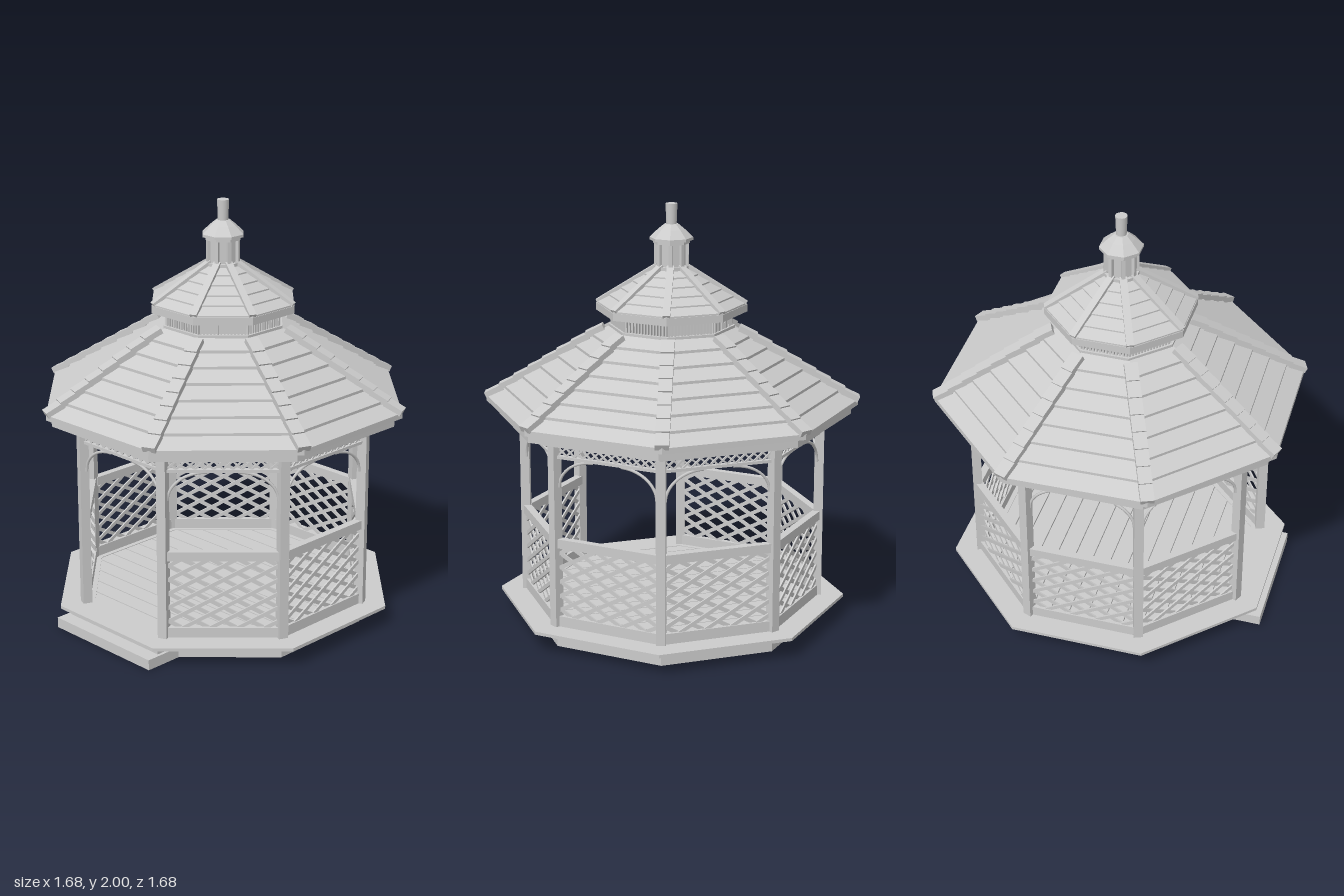
import * as THREE from 'three';
import { mergeGeometries } from 'three/addons/utils/BufferGeometryUtils.js';

const flat = new THREE.MeshStandardMaterial({ color: 0xcccccc, flatShading: true });
const smooth = new THREE.MeshStandardMaterial({ color: 0xcccccc });
const EIGHTH = Math.PI / 4;
const COS = Math.cos(EIGHTH / 2);
const TAN = Math.tan(EIGHTH / 2);

function add(parent, name, geometry, material = flat) {
  const mesh = new THREE.Mesh(geometry, material);
  mesh.name = name;
  parent.add(mesh);
  return mesh;
}

// Box given by its extents
function block(x0, x1, y0, y1, z0, z1) {
  return new THREE.BoxGeometry(x1 - x0, y1 - y0, z1 - z0)
    .translate((x0 + x1) / 2, (y0 + y1) / 2, (z0 + z1) / 2);
}

// Octagonal solid from a counter-clockwise profile of [distance to flat side, height]
function octagon(profile) {
  const points = profile.map(([a, y]) => new THREE.Vector2(a / COS, y));
  return new THREE.LatheGeometry(points, 8, EIGHTH / 2);
}

function octagonRing(inner, outer, y0, y1) {
  return octagon([[inner, y0], [outer, y0], [outer, y1], [inner, y1], [inner, y0]]);
}

// Repeat a geometry around the eight sides (offset 0) or corners (offset 0.5)
function around(geometry, offset = 0) {
  const copies = [];
  for (let i = 0; i < 8; i++) copies.push(geometry.clone().rotateY((i + offset) * EIGHTH));
  return mergeGeometries(copies);
}

// Two crossing layers of diagonal slats, clipped to a rectangle
function lattice(width, y0, y1, slope, spacing, slat, depth, z) {
  const pieces = [];
  const run = (y1 - y0) / slope;
  const angle = Math.atan(slope);
  for (const side of [1, -1]) {
    for (let c = -width / 2 - run + spacing / 2; c < width / 2; c += spacing) {
      const a = Math.max(c, -width / 2);
      const b = Math.min(c + run, width / 2);
      if (b - a < 0.01) continue;
      const mid = (a + b) / 2;
      pieces.push(new THREE.BoxGeometry((b - a) / Math.cos(angle), slat, depth)
        .rotateZ(side * angle)
        .translate(side * mid, y0 + (mid - c) * slope, z + side * depth / 2));
    }
  }
  return mergeGeometries(pieces);
}

// Lapped board courses rising from the eave to the top
function roofCourses(a0, y0, a1, y1, count, lip) {
  const courses = [];
  for (let i = 0; i < count; i++) {
    const at = (t) => [a0 + (a1 - a0) * t, y0 + (y1 - y0) * t];
    const [oa, oy] = at(i / count);
    const [ia, iy] = at((i + 1) / count);
    courses.push(octagon([[ia, iy - lip], [oa, oy - lip], [oa, oy + lip], [ia, iy], [ia, iy - lip]]));
  }
  return mergeGeometries(courses);
}

// Overlapping caps along one hip, laid in the +z direction
function hipCaps(a0, y0, a1, y1, count, width, thick) {
  const r0 = a0 / COS, r1 = a1 / COS;
  const pitch = Math.atan2(y1 - y0, r0 - r1);
  const length = Math.hypot(r0 - r1, y1 - y0) / count;
  const caps = [];
  for (let i = 0; i < count; i++) {
    const t = (i + 0.5) / count;
    caps.push(new THREE.BoxGeometry(width, thick, length * 1.12)
      .rotateX(pitch - (count > 1 ? 0.09 : 0))
      .translate(0, y0 + (y1 - y0) * t + thick * 0.4, r0 + (r1 - r0) * t));
  }
  return mergeGeometries(caps);
}

function buildBase(model) {
  const base = new THREE.Group();
  base.name = 'base';
  add(base, 'foundation', octagon([[0, 0], [0.65, 0], [0.65, 0.09], [0, 0.09]]));
  add(base, 'deckRim', octagonRing(0.61, 0.77, 0.09, 0.105));
  add(base, 'lowerStep', block(-0.32, 0.315, 0, 0.05, 0.6, 0.79));
  add(base, 'upperStep', block(-0.3, 0.3, 0.05, 0.09, 0.6, 0.72));

  // Floor boards run across the deck and follow the octagon at their ends
  const A = 0.63, count = 14, step = 2 * A / count;
  const half = (z) => Math.min(A, A * Math.SQRT2 - Math.abs(z));
  const boards = [];
  for (let i = 0; i < count; i++) {
    const z0 = -A + i * step + 0.003, z1 = z0 + step - 0.006;
    const shape = new THREE.Shape([[-half(z0), -z0], [-half(z1), -z1], [half(z1), -z1], [half(z0), -z0]]
      .map(([x, y]) => new THREE.Vector2(x, y)));
    boards.push(new THREE.ExtrudeGeometry(shape, { depth: 0.016, bevelEnabled: false })
      .rotateX(-Math.PI / 2).translate(0, 0.086, 0));
  }
  add(base, 'floorBoards', mergeGeometries(boards));
  model.add(base);
}

function buildWalls(model) {
  const walls = new THREE.Group();
  walls.name = 'walls';
  add(walls, 'posts', around(block(-0.022, 0.022, 0.1, 0.99, 0.682, 0.726), 0.5));

  const A = 0.648, w = 2 * A * TAN - 0.03;
  for (let i = 0; i < 8; i++) {
    const side = new THREE.Group();
    side.name = 'wallSide';
    side.rotation.y = i * EIGHTH;
    // The front side is left open as the entrance
    if (i > 0) {
      add(side, 'bottomRail', block(-w / 2, w / 2, 0.105, 0.155, A - 0.014, A + 0.014));
      add(side, 'topRail', block(-w / 2, w / 2, 0.487, 0.53, A - 0.018, A + 0.018));
      add(side, 'railingLattice', lattice(w, 0.15, 0.49, 0.55, 0.125, 0.018, 0.008, A));
    }
    add(side, 'friezeRail', block(-w / 2, w / 2, 0.912, 0.926, A - 0.012, A + 0.012));
    add(side, 'friezeTopRail', block(-w / 2, w / 2, 0.975, 0.99, A - 0.012, A + 0.012));
    add(side, 'friezeLattice', lattice(w, 0.922, 0.98, 0.9, 0.042, 0.009, 0.006, A));
    // Curved brackets under the frieze
    for (const s of [1, -1]) {
      const points = [];
      for (let k = 0; k <= 8; k++) {
        const t = k / 8 * Math.PI / 2;
        points.push(new THREE.Vector3(s * (0.07 + 0.178 * Math.cos(t)), 0.775 + 0.135 * Math.sin(t), A));
      }
      add(side, 'archBracket', new THREE.TubeGeometry(new THREE.CatmullRomCurve3(points), 16, 0.007, 6), smooth);
    }
    walls.add(side);
  }
  model.add(walls);
}

function buildMainRoof(model) {
  const roof = new THREE.Group();
  roof.name = 'mainRoof';
  add(roof, 'wallPlate', octagonRing(0.62, 0.72, 0.985, 1.012));
  add(roof, 'fascia', octagonRing(0.7, 0.785, 1.01, 1.06));
  const cover = new THREE.Group();
  cover.name = 'roofCover';
  cover.rotation.y = 0.019;
  add(cover, 'roofBoards', roofCourses(0.815, 1.062, 0.27, 1.42, 7, 0.013));
  add(cover, 'hipCaps', around(hipCaps(0.81, 1.066, 0.3, 1.405, 8, 0.062, 0.03), 0.5));
  roof.add(cover);
  model.add(roof);
}

function buildLantern(model) {
  const lantern = new THREE.Group();
  lantern.name = 'lantern';
  // Slatted band between the two roofs
  add(lantern, 'bandCore', octagonRing(0.22, 0.25, 1.38, 1.5));
  add(lantern, 'bandSill', octagonRing(0.24, 0.275, 1.405, 1.43));
  add(lantern, 'bandHead', octagonRing(0.24, 0.27, 1.482, 1.5));
  const slats = [];
  for (let i = 0; i < 14; i++) {
    const x = (i - 6.5) * 0.0156;
    slats.push(block(x - 0.004, x + 0.004, 1.42, 1.49, 0.248, 0.266));
  }
  add(lantern, 'bandSlats', around(mergeGeometries(slats)));

  // Upper roof
  add(lantern, 'upperFascia', octagonRing(0.22, 0.328, 1.495, 1.53));
  add(lantern, 'upperRoofBoards', roofCourses(0.325, 1.53, 0.07, 1.7, 5, 0.007));
  add(lantern, 'upperHipCaps', around(hipCaps(0.31, 1.54, 0.075, 1.698, 1, 0.034, 0.016), 0.5));

  // Cupola, cap and finial
  add(lantern, 'cupolaCore', octagon([[0, 1.66], [0.064, 1.66], [0.064, 1.84], [0, 1.84]]));
  add(lantern, 'cupolaPosts', around(block(-0.009, 0.009, 1.68, 1.83, 0.063, 0.081), 0.5));
  add(lantern, 'cupolaSill', octagonRing(0.05, 0.08, 1.69, 1.71));
  add(lantern, 'cupolaHead', octagonRing(0.05, 0.08, 1.815, 1.832));
  add(lantern, 'cupolaCap', octagon([[0, 1.83], [0.094, 1.83], [0.094, 1.843], [0.058, 1.88], [0.03, 1.905], [0, 1.905]]));
  add(lantern, 'finial', new THREE.CylinderGeometry(0.028, 0.024, 0.1, 16).translate(0, 1.95, 0), smooth);
  model.add(lantern);
}

export function createModel() {
  const model = new THREE.Group();
  model.name = 'gazebo';
  buildBase(model);
  buildWalls(model);
  buildMainRoof(model);
  buildLantern(model);
  return model;
}
